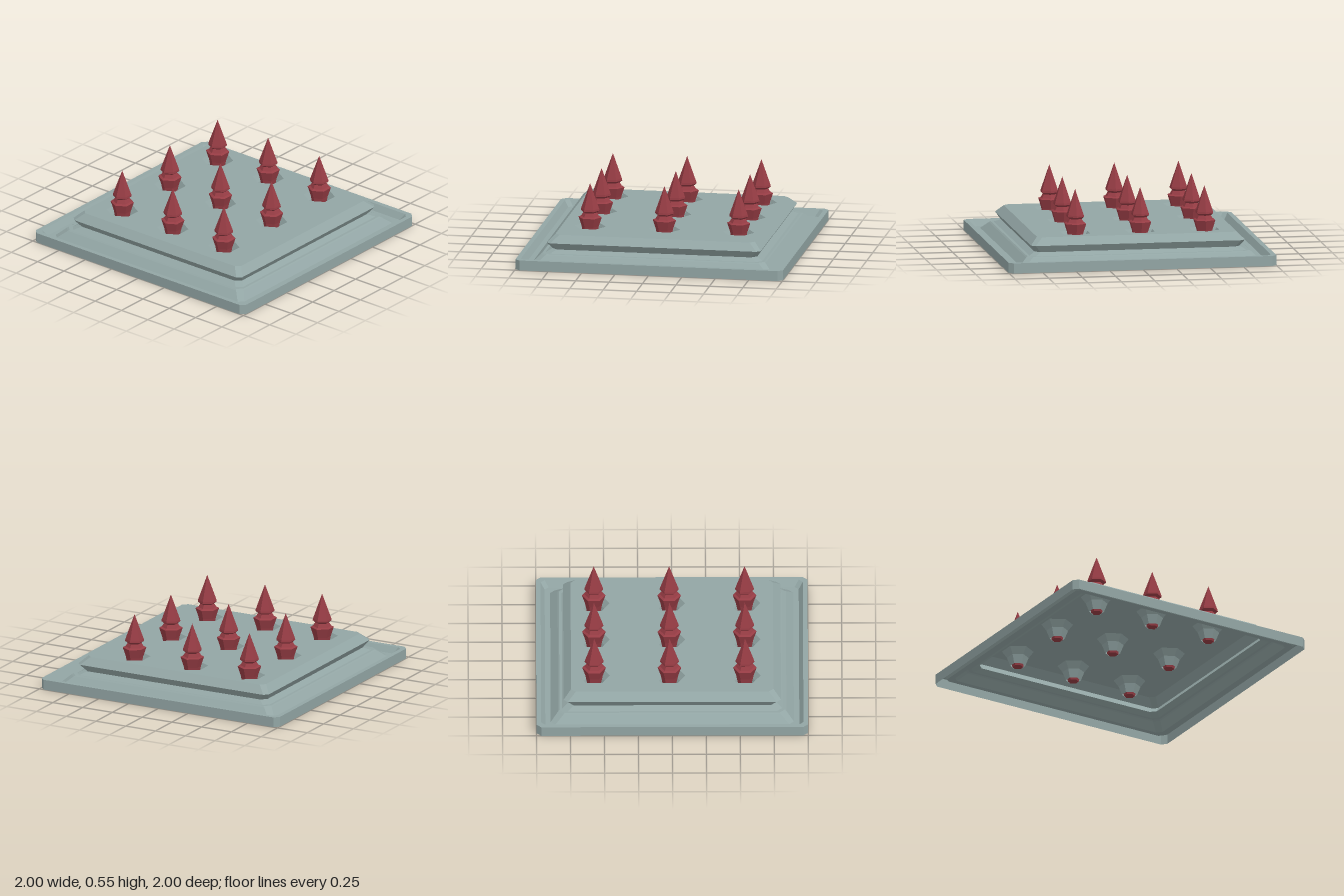
import * as THREE from 'three';

const stone = new THREE.MeshStandardMaterial({ name: 'grey stone', color: 0x92a5a4, flatShading: true, side: THREE.DoubleSide });
const red = new THREE.MeshStandardMaterial({ name: 'dark red', color: 0x963c44, flatShading: true, side: THREE.DoubleSide });

// Square outline of half-size h with cut corners, as [x, z] pairs
function cutSquare(h, cut) {
  const k = h - cut;
  return [[h, -k], [h, k], [k, h], [-k, h], [-h, k], [-h, -k], [-k, -h], [k, -h]];
}

// Surface through stacked cut-corner squares, each [half-size, y, cut]
function squareShell(rings) {
  const pos = [], index = [];
  rings.forEach(([h, y, cut], i) => {
    cutSquare(h, cut).forEach(([x, z], j) => {
      pos.push(x, y, z);
      if (i === rings.length - 1) return;
      const a = i * 8 + j, b = i * 8 + (j + 1) % 8;
      index.push(a, a + 8, b + 8, a, b + 8, b);
    });
  });
  const geo = new THREE.BufferGeometry();
  geo.setAttribute('position', new THREE.Float32BufferAttribute(pos, 3));
  geo.setIndex(index);
  const flat = geo.toNonIndexed();
  flat.computeVertexNormals();
  return flat;
}

// Six-sided turned part with corners pointing along x
function hexLathe(profile) {
  const points = profile.map(([r, y]) => new THREE.Vector2(r, y));
  return new THREE.LatheGeometry(points, 6, Math.PI / 2);
}

function addMesh(parent, name, geo, mat) {
  const mesh = new THREE.Mesh(geo, mat);
  mesh.name = name;
  parent.add(mesh);
  return mesh;
}

export function createModel() {
  const model = new THREE.Group();
  model.name = 'spikeTrap';
  const topY = 0.22, holeR = 0.117;
  const columns = [-0.535, 0.02, 0.575];
  const rows = [-0.53, -0.05, 0.435];

  // Hollow base: outer rim, groove, step, undercut and bevelled edge
  addMesh(model, 'base', squareShell([
    [1.0, 0, 0.035],
    [1.0, 0.075, 0.035],
    [0.965, 0.075, 0.03],
    [0.935, 0.03, 0.03],
    [0.895, 0.03, 0.035],
    [0.84, 0.083, 0.04],
    [0.83, 0.09, 0.04],
    [0.81, 0.09, 0.04],
    [0.765, 0.113, 0.04],
    [0.8, 0.165, 0.03],
    [0.745, topY, 0.035],
  ]), stone);

  // Top plate with hexagonal holes
  const plate = new THREE.Shape(cutSquare(0.745, 0.035).map(([x, z]) => new THREE.Vector2(x, -z)));
  for (const x of columns) for (const z of rows) {
    const hex = [];
    for (let i = 0; i < 6; i++) {
      const a = -i * Math.PI / 3;
      hex.push(new THREE.Vector2(x + holeR * Math.cos(a), -z + holeR * Math.sin(a)));
    }
    plate.holes.push(new THREE.Path(hex));
  }
  const plateGeo = new THREE.ShapeGeometry(plate);
  plateGeo.rotateX(-Math.PI / 2);
  addMesh(model, 'topPlate', plateGeo, stone).position.y = topY;

  // Sockets sunk below the plate, each holding a spike
  const socketGeo = hexLathe([[holeR, topY], [0.08, 0.17], [0.055, 0.105]]);
  const spikeGeo = hexLathe([
    [0, 0.095], [0.04, 0.095], [0.064, 0.22], [0.087, 0.29], [0.068, 0.298],
    [0.051, 0.325], [0.07, 0.34], [0.068, 0.354], [0, 0.545],
  ]);
  for (const x of columns) for (const z of rows) {
    addMesh(model, 'socket', socketGeo, stone).position.set(x, 0, z);
    addMesh(model, 'spike', spikeGeo, red).position.set(x, 0, z);
  }
  return model;
}
